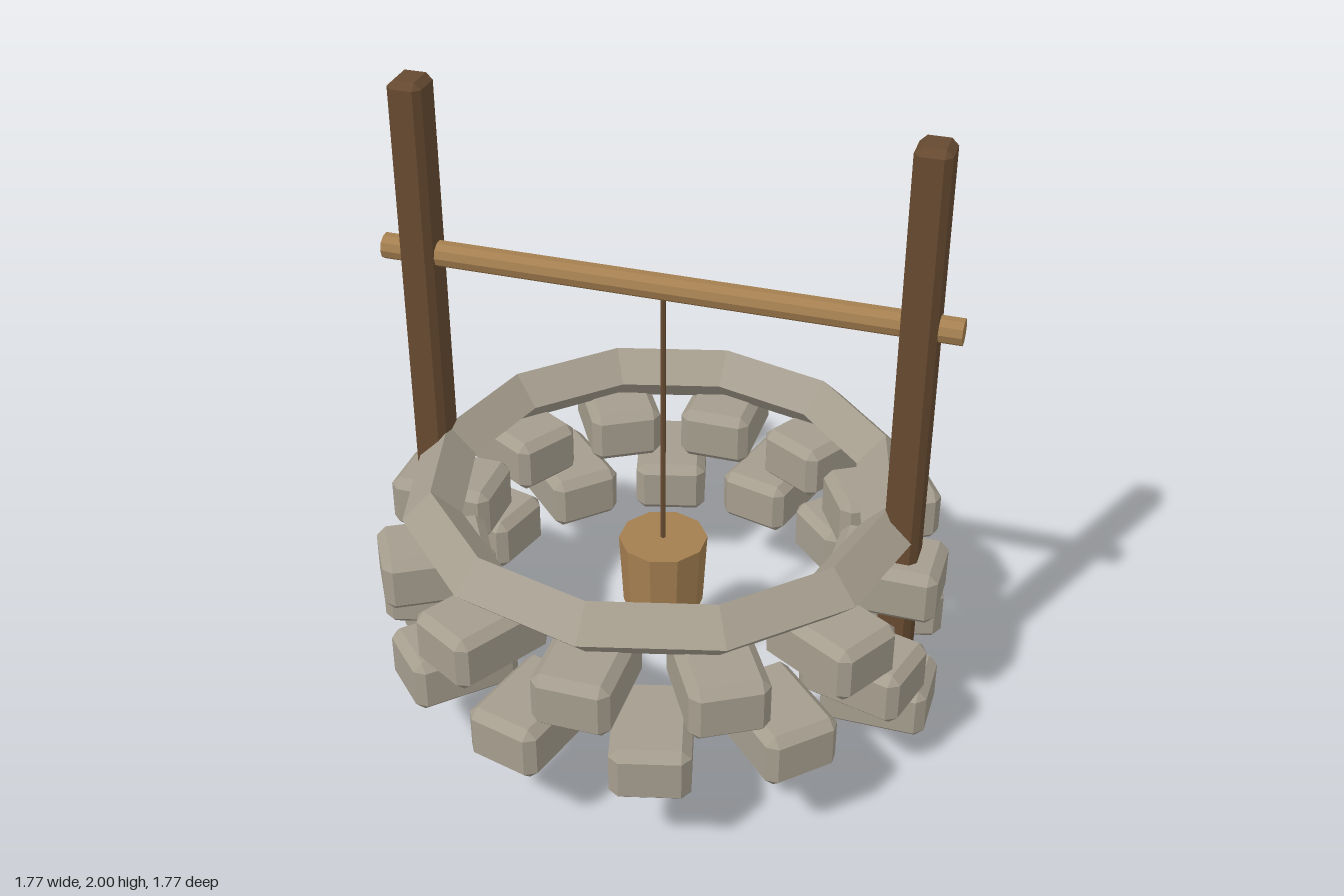
import * as THREE from 'three';
import { ConvexGeometry } from 'three/addons/geometries/ConvexGeometry.js';

const paint = (name, color) => {
  const m = new THREE.MeshStandardMaterial({ color, flatShading: true });
  m.name = name;
  return m;
};

// Box with one flat chamfer along every edge
function chamferBox(w, h, d, b) {
  const x = w / 2, y = h / 2, z = d / 2, points = [];
  for (const sx of [-1, 1]) for (const sy of [-1, 1]) for (const sz of [-1, 1]) {
    points.push(
      new THREE.Vector3(sx * x, sy * (y - b), sz * (z - b)),
      new THREE.Vector3(sx * (x - b), sy * y, sz * (z - b)),
      new THREE.Vector3(sx * (x - b), sy * (y - b), sz * z));
  }
  return new ConvexGeometry(points);
}

export function createModel() {
  const stone = paint('stone', 0xa59d8e);
  const darkWood = paint('dark wood', 0x664a31);
  const lightWood = paint('light wood', 0xa47f50);

  const well = new THREE.Group();
  well.name = 'well';
  const add = (name, geometry, material, x, y, z, parent = well) => {
    const mesh = new THREE.Mesh(geometry, material);
    mesh.name = name;
    mesh.position.set(x, y, z);
    parent.add(mesh);
    return mesh;
  };

  // Stone courses: two footing stones, then two staggered rings of twelve
  const block = chamferBox(0.335, 0.18, 0.236, 0.028);
  const course = (name, y, count, offset) => {
    const ring = new THREE.Group();
    ring.name = name;
    well.add(ring);
    for (let i = 0; i < count; i++) {
      const a = offset + (i / count) * Math.PI * 2;
      const r = 0.718;
      add('stoneBlock', block, stone, Math.cos(a) * r, y, -Math.sin(a) * r, ring).rotation.y = a;
    }
  };
  course('footingStones', 0.119, 2, 0);
  course('lowerCourse', 0.345, 12, Math.PI / 12);
  course('upperCourse', 0.569, 12, 0);

  // Diamond-section rim
  add('rim', new THREE.TorusGeometry(0.717, 0.091, 4, 12), stone, 0, 0.738, 0).rotation.x = Math.PI / 2;

  // Posts
  const post = chamferBox(0.106, 2, 0.124, 0.02);
  for (const s of [-1, 1]) add(s > 0 ? 'leftPost' : 'rightPost', post, darkWood, s * 0.757, 1, 0);

  // Crossbeam, rope and bucket
  add('crossbeam', new THREE.CylinderGeometry(0.04, 0.04, 1.756, 10), lightWood, 0, 1.444, 0).rotation.z = Math.PI / 2;
  add('rope', new THREE.CylinderGeometry(0.008, 0.008, 0.9, 6), darkWood, 0, 0.99, 0);
  add('bucket', new THREE.CylinderGeometry(0.14, 0.127, 0.245, 10), lightWood, 0, 0.427, 0);

  return well;
}
